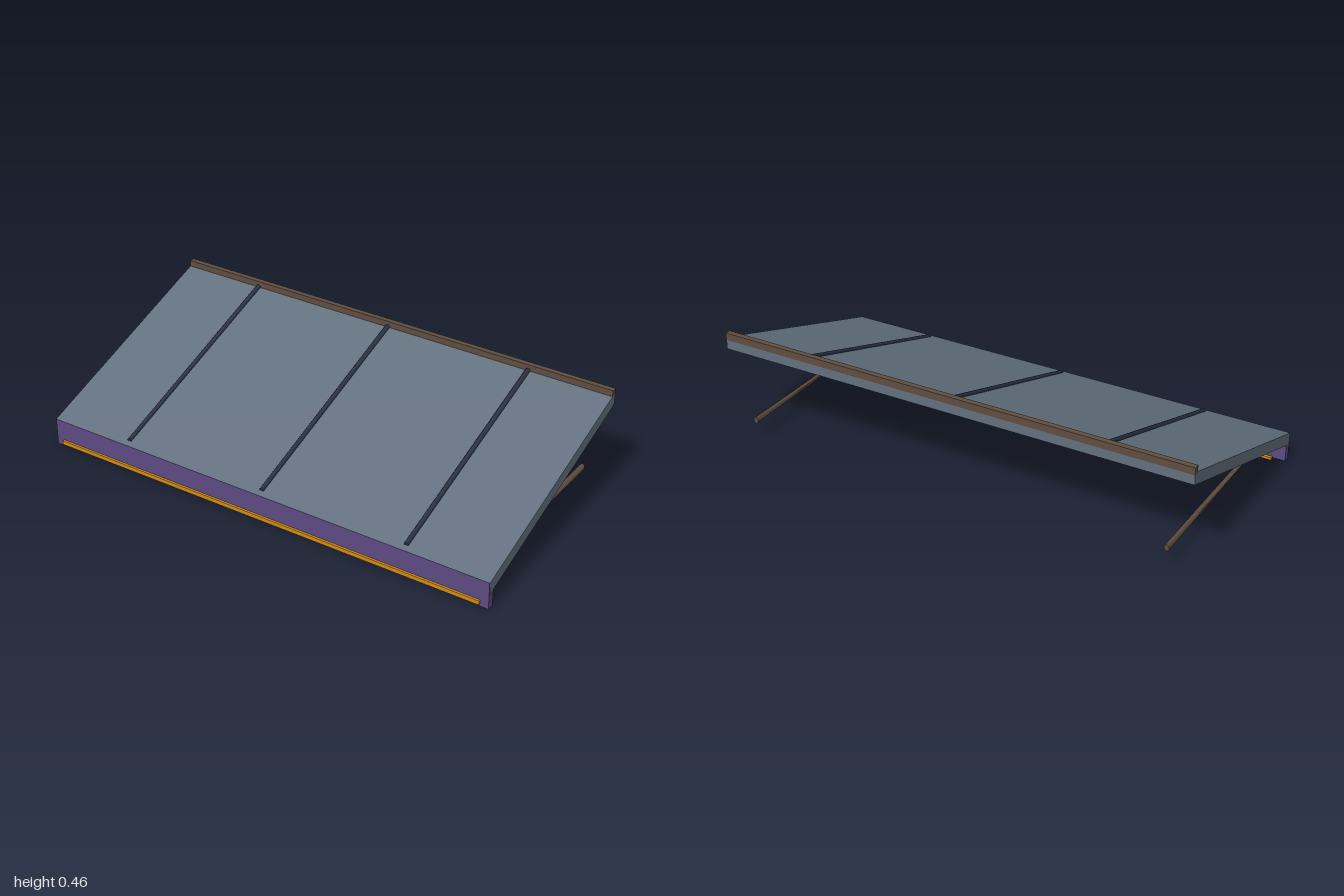
import * as THREE from 'three';

const mat = (name, color) => {
  const m = new THREE.MeshStandardMaterial({ color });
  m.name = name;
  return m;
};

export function createModel() {
  const group = new THREE.Group();
  const slate = mat('slate canopy', 0x63707f);
  const purple = mat('purple valance', 0x5c4a82);
  const gold = mat('gold trim', 0xd08c14);
  const brown = mat('brown metal', 0x5f4d40);
  const navy = mat('dark seam', 0x272f40);

  const add = (name, geometry, material) => {
    const mesh = new THREE.Mesh(geometry, material);
    mesh.name = name;
    group.add(mesh);
    return mesh;
  };

  // Box given by its limits along y and z, centred on x
  const bar = (name, width, y0, y1, z0, z1, material) =>
    add(name, new THREE.BoxGeometry(width, y1 - y0, z1 - z0), material)
      .position.set(0, (y0 + y1) / 2, (z0 + z1) / 2);

  // Sloping canopy: side profile in (-z, y), extruded along x
  const profile = new THREE.Shape([
    [-0.459, 0.114], [-0.452, 0.064], [0.467, 0.386], [0.467, 0.438],
  ].map(([a, b]) => new THREE.Vector2(a, b)));
  const slab = new THREE.ExtrudeGeometry(profile, { depth: 2, bevelEnabled: false });
  slab.rotateY(Math.PI / 2).translate(-1, 0, 0);
  add('canopy', slab, slate);

  // Front valance, rear rail and the two trim strips
  bar('valance', 1.998, 0, 0.114, 0.43, 0.4595, purple);
  bar('rearRail', 2, 0.426, 0.456, -0.468, -0.445, brown);
  bar('frontTrim', 1.93, 0.011, 0.028, 0.459, 0.469, gold);
  bar('lightStrip', 1.9, 0.002, 0.013, 0.406, 0.419, gold);

  // Round rod between two points; its height can taper from front to back
  const rod = (name, x, front, back, width, hFront, hBack, sides, material) => {
    const length = front[1] - back[1];
    const geo = new THREE.CylinderGeometry(1, 1, length, sides);
    geo.rotateX(Math.PI / 2); // axis along z
    const p = geo.attributes.position;
    for (let i = 0; i < p.count; i++) {
      const t = 0.5 - p.getZ(i) / length;
      const h = THREE.MathUtils.lerp(hFront, hBack, t) / 2;
      const y = THREE.MathUtils.lerp(front[0], back[0], t);
      p.setXYZ(i, x + p.getX(i) * width / 2, y + p.getY(i) * h, p.getZ(i) + (front[1] + back[1]) / 2);
    }
    geo.computeVertexNormals();
    add(name, geo, material);
  };

  // Raised seams along the slope
  for (const x of [-0.64, 0, 0.64])
    rod('seam', x, [0.122, 0.435], [0.433, -0.446], 0.02, 0.02, 0.02, 10, navy);

  // Support arms: one under the canopy, one level, on each side
  for (const x of [-0.9, 0.9]) {
    rod('slopedArm', x, [0.074, 0.415], [0.378, -0.448], 0.018, 0.004, 0.014, 6, brown);
    rod('levelArm', x, [0.074, 0.415], [0.082, -0.45], 0.022, 0.004, 0.03, 6, brown);
  }
  return group;
}
